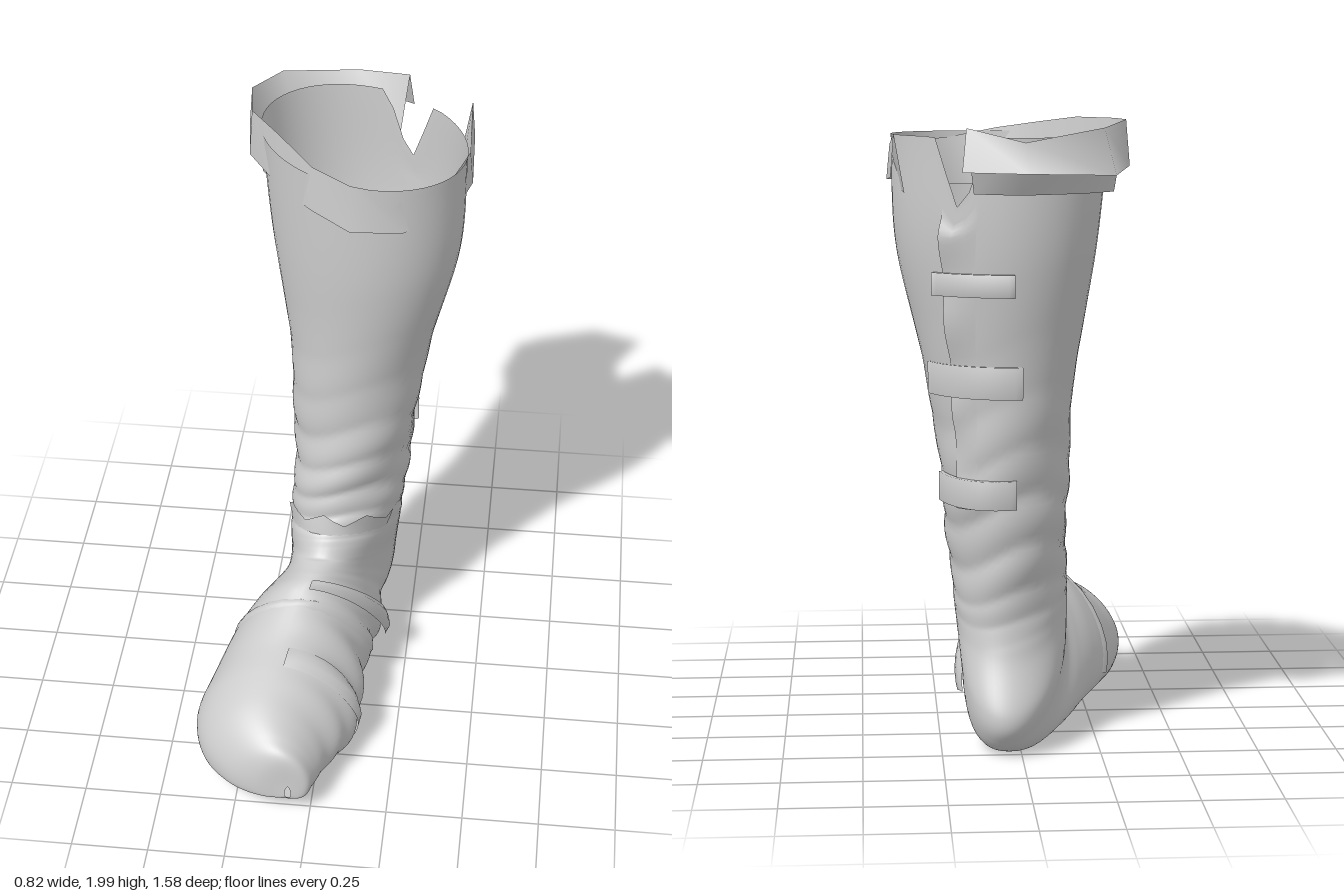
import * as THREE from 'three';

// Cross-sections from the shaft top, round the heel, to the toe:
// [front x, y, z,  back x, y, z,  half width]
const RINGS = [
  [0.14, 1.95, 0.03, -0.02, 1.95, -0.62, 0.325],
  [0.13, 1.6, 0.02, 0.01, 1.6, -0.6, 0.305],
  [0.07, 1.2, -0.02, 0.04, 1.2, -0.54, 0.235],
  [0.03, 0.85, -0.02, 0.05, 0.83, -0.51, 0.2],
  [0, 0.63, 0.01, 0.05, 0.5, -0.47, 0.185],
  [-0.02, 0.56, 0.05, 0.05, 0.33, -0.49, 0.18],
  [-0.03, 0.52, 0.08, 0.05, 0.15, -0.57, 0.17],
  [-0.04, 0.515, 0.1, 0.05, 0.06, -0.54, 0.165],
  [-0.05, 0.51, 0.13, 0.03, 0.015, -0.46, 0.165],
  [-0.06, 0.505, 0.16, -0.02, 0.03, -0.3, 0.18],
  [-0.08, 0.49, 0.2, -0.05, 0.05, -0.1, 0.215],
  [-0.1, 0.455, 0.26, -0.1, 0.06, 0.08, 0.23],
  [-0.13, 0.4, 0.38, -0.13, 0.035, 0.3, 0.25],
  [-0.15, 0.365, 0.5, -0.15, 0.035, 0.5, 0.26],
  [-0.16, 0.325, 0.62, -0.165, 0.05, 0.64, 0.21],
  [-0.13, 0.28, 0.715, -0.14, 0.065, 0.735, 0.15],
  [-0.09, 0.235, 0.77, -0.1, 0.075, 0.78, 0.09],
  [-0.07, 0.13, 0.785, -0.07, 0.09, 0.79, 0.01],
];
const LAST = RINGS.length - 1;
const curve = (pick) => new THREE.CatmullRomCurve3(RINGS.map((r) => new THREE.Vector3(...pick(r))), false, 'catmullrom', 0.5);
const frontLine = curve((r) => r.slice(0, 3));
const backLine = curve((r) => r.slice(3, 6));
const widthLine = curve((r) => [r[6], 0, 0]);

// Bell-shaped weight around a ring index
const bell = (x, centre, spread) => Math.exp(-(((x - centre) / spread) ** 2));

// Point on the skin: k is the ring index, a the angle (0 front, PI/2 left, PI back)
function skin(k, a, scale = 1, dy = 0) {
  const u = THREE.MathUtils.clamp(k / LAST, 0, 1);
  const f = frontLine.getPoint(u), b = backLine.getPoint(u), w = widthLine.getPoint(u).x;
  // The foot has a flat, wide sole; the shaft is oval
  const flat = THREE.MathUtils.smoothstep(k, 6, 11);
  const c = Math.cos(a), s = Math.sin(a);
  const along = c - 0.4 * flat * (1 - c * c);
  const power = c < 0 ? 1 - 0.5 * flat : 1;
  const side = Math.sign(s) * Math.abs(s) ** power * w;
  // Leather folds round the ankle, and gathers on the inner side of the foot
  const folds = 0.05 * bell(k, 3.3, 0.95) * (Math.abs(Math.sin(k * 7 + 1.3 * Math.sin(a * 2 + 0.6))) - 0.45)
    + 0.022 * bell(k, 3.2, 1.1) * Math.sin(a * 3 + k * 4.5);
  const gathers = s > 0 ? 0.05 * s * bell(k, 11.5, 2) * Math.sin(k * 7 + c * 3) : 0;
  const m = scale + folds + gathers;
  const p = f.clone().add(b).multiplyScalar(0.5).addScaledVector(f.clone().sub(b), 0.5 * along * m);
  p.x += side * m;
  // V-shaped slit at the back of the opening
  p.y += dy - 0.24 * Math.max(0, 1 - Math.abs(a - 2.5) / 0.26) * Math.max(0, 1 - k / 0.9);
  return p;
}

// Smooth sheet from a point function of row and column
function sheet(name, material, rows, cols, point, closed = false) {
  const pos = [], index = [];
  const across = closed ? cols : cols + 1;
  for (let i = 0; i <= rows; i++) {
    for (let j = 0; j < across; j++) pos.push(...point(i / rows, j / cols).toArray());
  }
  for (let i = 0; i < rows; i++) {
    for (let j = 0; j < cols; j++) {
      const n = (j + 1) % across;
      const p = i * across + j, q = i * across + n, r = p + across, t = q + across;
      index.push(p, r, q, q, r, t);
    }
  }
  const g = new THREE.BufferGeometry();
  g.setAttribute('position', new THREE.Float32BufferAttribute(pos, 3));
  g.setIndex(index);
  g.computeVertexNormals();
  const mesh = new THREE.Mesh(g, material);
  mesh.name = name;
  return mesh;
}

// Turned-down cuff, from the left tip round the front to the back flap: [x, z, top y, bottom y]
const CUFF = [
  [0.40, -0.54, 1.96, 1.83], [0.41, -0.28, 1.92, 1.81], [0.36, -0.1, 1.92, 1.8],
  [0.21, 0.03, 1.93, 1.8], [0.05, 0.04, 1.96, 1.8], [-0.08, -0.03, 1.98, 1.83],
  [-0.2, -0.18, 2.0, 1.82], [-0.31, -0.33, 2.0, 1.84], [-0.33, -0.48, 2.0, 1.86],
  [-0.27, -0.67, 1.98, 1.84], [0, -0.79, 1.94, 1.85], [0.19, -0.69, 1.98, 1.85],
];

export function createModel() {
  const boot = new THREE.Group();
  boot.name = 'boot';
  const leather = new THREE.MeshStandardMaterial({ color: 0xcccccc, side: THREE.DoubleSide });
  leather.name = 'greyLeather';

  // Shaft, heel, sole and toe in one skin
  boot.add(sheet('bootBody', leather, 255, 56, (u, v) => skin(u * LAST, v * Math.PI * 2), true));

  // Cuff: inner funnel, rim and outer fall
  const n = CUFF.length - 1;
  const cuffPoint = (row, col) => {
    const [x, z, top, bottom] = CUFF[Math.round(col * n)];
    const back = z < -0.6;
    const grow = [back ? 0.72 : 0.88, back ? 0.9 : 0.97, 1][row];
    return new THREE.Vector3(0.05 + (x - 0.05) * grow, [1.78, top, bottom][row], -0.3 + (z + 0.3) * grow);
  };
  boot.add(sheet('cuffLining', leather, 1, n, (u, v) => cuffPoint(u, v)));
  boot.add(sheet('cuffFall', leather, 1, n, (u, v) => cuffPoint(1 + u, v)));

  // Straps round the back of the shaft: [name, ring index, start angle, end angle, half height, scale]
  const straps = [
    ['upperStrap', 1.25, 2.25, 3.1, 0.035, 1.08],
    ['middleStrap', 2, 1.9, 3.3, 0.05, 1.06],
    ['lowerStrap', 2.95, 1.9, 3.3, 0.045, 1.09],
  ];
  for (const [name, k, a0, a1, h, scale] of straps) {
    boot.add(sheet(name, leather, 3, 14, (u, v) => {
      const edge = u === 0 || u === 1;
      return skin(k, a0 + (a1 - a0) * v, edge ? scale - 0.07 : scale, u < 0.5 ? h : -h);
    }));
  }

  // Overlapping edge of the slit down the back of the shaft
  boot.add(sheet('slitFlap', leather, 30, 3, (u, v) => {
    const k = 0.5 + u * 2.6;
    const lift = 0.04 + 0.035 * Math.sin(k * 9);
    return skin(k, 2.35 + 0.35 * v, 1 + lift * (1 - v));
  }));

  // Bands over the foot: [name, start ring, end ring, start angle, end angle, scale]
  const bands = [
    ['toeCapEdge', 10.7, 11.1, -1.9, 1.9, 1.03],
    ['toeStrap', 12.2, 12.8, 0.1, 2.0, 1.06],
    ['instepStrap', 9.6, 10.3, 0.1, 1.9, 1.14],
  ];
  for (const [name, k0, k1, a0, a1, scale] of bands) {
    boot.add(sheet(name, leather, 3, 16, (u, v) => {
      const edge = u === 0 || u === 1;
      return skin(k0 + (k1 - k0) * u, a0 + (a1 - a0) * v, edge ? scale - 0.04 : scale);
    }));
  }

  // Ragged tongue fold at the front of the ankle
  boot.add(sheet('tongueFold', leather, 2, 12, (u, v) => {
    const p = skin(4.6 - u * 0.6, -1.1 + 2.2 * v, 1 + 0.07 * u);
    p.y += u * 0.02 * Math.sin(v * 19);
    return p;
  }));
  return boot;
}
